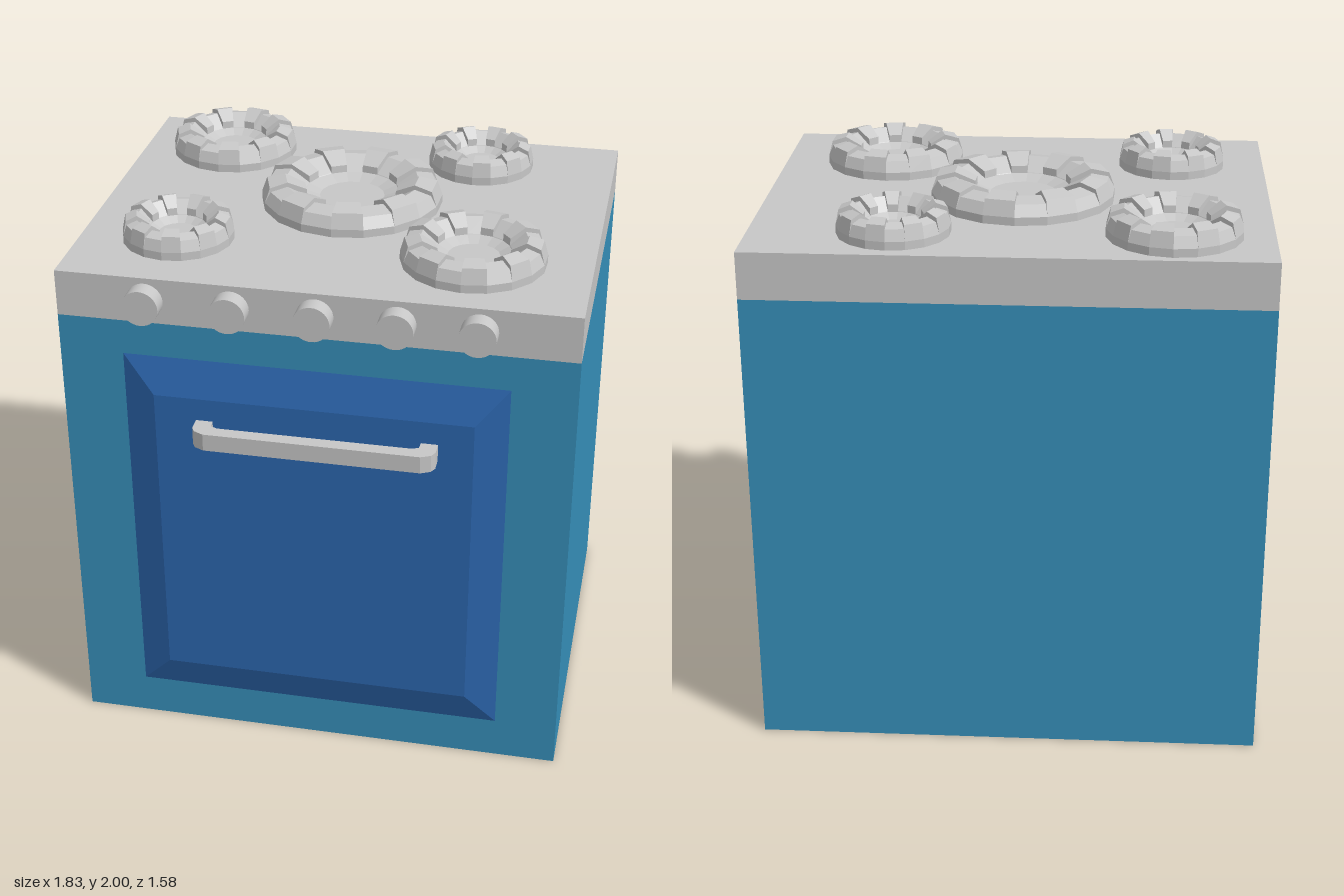
import * as THREE from 'three';

const mat = (name, color) => {
  const m = new THREE.MeshStandardMaterial({ color, side: THREE.DoubleSide });
  m.name = name;
  return m;
};

// Domed burner: wedge sectors, every second one raised into a rib
function burnerGeometry(R, sides = 18) {
  const low = [[1, 0], [1, 0.03], [0.93, 0.07], [0.74, 0.083], [0.52, 0.04], [0.515, 0.038], [0.36, 0.02], [0, 0.02]];
  const rib = [[1, 0], [1, 0.03], [0.94, 0.085], [0.74, 0.1], [0.52, 0.065], [0.515, 0.038], [0.36, 0.02], [0, 0.02]];
  const pos = [];
  const quad = (a, b, c, d) => pos.push(...a, ...b, ...c, ...a, ...c, ...d);
  const step = (Math.PI * 2) / sides;
  const at = ([r, y], k) => {
    const t = (k - 0.6) * step;
    return [r * R * Math.cos(t), y, -r * R * Math.sin(t)];
  };
  for (let k = 0; k < sides; k++) {
    const prof = k % 2 ? low : rib;
    for (let i = 0; i < prof.length - 1; i++) {
      const p = prof[i], q = prof[i + 1];
      quad(at(p, k), at(p, k + 1), at(q, k + 1), at(q, k));
      // side wall between a rib and its neighbouring gap
      if (i > 0 && i < 5) {
        const w = [at(low[i], k), at(low[i + 1], k), at(rib[i + 1], k), at(rib[i], k)];
        quad(...(k % 2 ? w.reverse() : w));
      }
    }
  }
  const g = new THREE.BufferGeometry();
  g.setAttribute('position', new THREE.Float32BufferAttribute(pos, 3));
  g.computeVertexNormals();
  return g;
}

export function createModel() {
  const group = new THREE.Group();
  const blue = mat('bodyBlue', 0x368fb9);
  const deepBlue = mat('doorBlue', 0x2c66ae);
  const grey = mat('metalGrey', 0xc7c7c7);
  const add = (name, geo, material, x, y, z) => {
    const m = new THREE.Mesh(geo, material);
    m.name = name;
    m.position.set(x, y, z);
    group.add(m);
    return m;
  };

  // Cabinet and hob
  add('cabinet', new THREE.BoxGeometry(1.83, 1.73, 1.445), blue, 0, 0.865, -0.0675);
  add('hob', new THREE.BoxGeometry(1.83, 0.17, 1.445), grey, 0, 1.815, -0.0675);

  // Oven door with bevelled edges
  const door = new THREE.BoxGeometry(1.37, 1.44, 0.04);
  const p = door.attributes.position;
  for (let i = 0; i < p.count; i++) {
    if (p.getZ(i) > 0) p.setXY(i, Math.sign(p.getX(i)) * 0.57, p.getY(i) > 0 ? 0.585 : -0.59);
  }
  door.computeVertexNormals();
  add('ovenDoor', door, deepBlue, 0, 0.88, 0.675);

  // Door handle: bent bar drawn in plan, extruded upwards
  const half = [[0.432, 0], [0.432, 0.055], [0.42, 0.078], [0.385, 0.095]];
  const inner = [[0.345, 0.045], [0.37, 0.035], [0.372, 0]];
  const mirror = (a) => a.map(([x, z]) => [-x, z]).reverse();
  const outline = [...half, ...mirror(half), ...mirror(inner), ...inner];
  const shape = new THREE.Shape(outline.map(([x, z]) => new THREE.Vector2(x, -z)));
  const handle = new THREE.ExtrudeGeometry(shape, { depth: 0.065, bevelEnabled: false });
  handle.rotateX(-Math.PI / 2);
  add('doorHandle', handle, grey, 0.013, 1.315, 0.692);

  // Control knobs
  const knob = new THREE.CylinderGeometry(0.065, 0.065, 0.075, 32).rotateX(Math.PI / 2);
  for (const x of [-0.595, -0.29, 0.005, 0.29, 0.57]) add('knob', knob, grey, x, 1.815, 0.6825);

  // Burners: x, z, radius
  for (const [x, z, r] of [
    [-0.02, -0.127, 0.335],
    [-0.565, -0.52, 0.24],
    [0.405, -0.545, 0.2],
    [-0.565, 0.308, 0.2],
    [0.495, 0.295, 0.258],
  ]) add('burner', burnerGeometry(r), grey, x, 1.9, z);

  return group;
}
